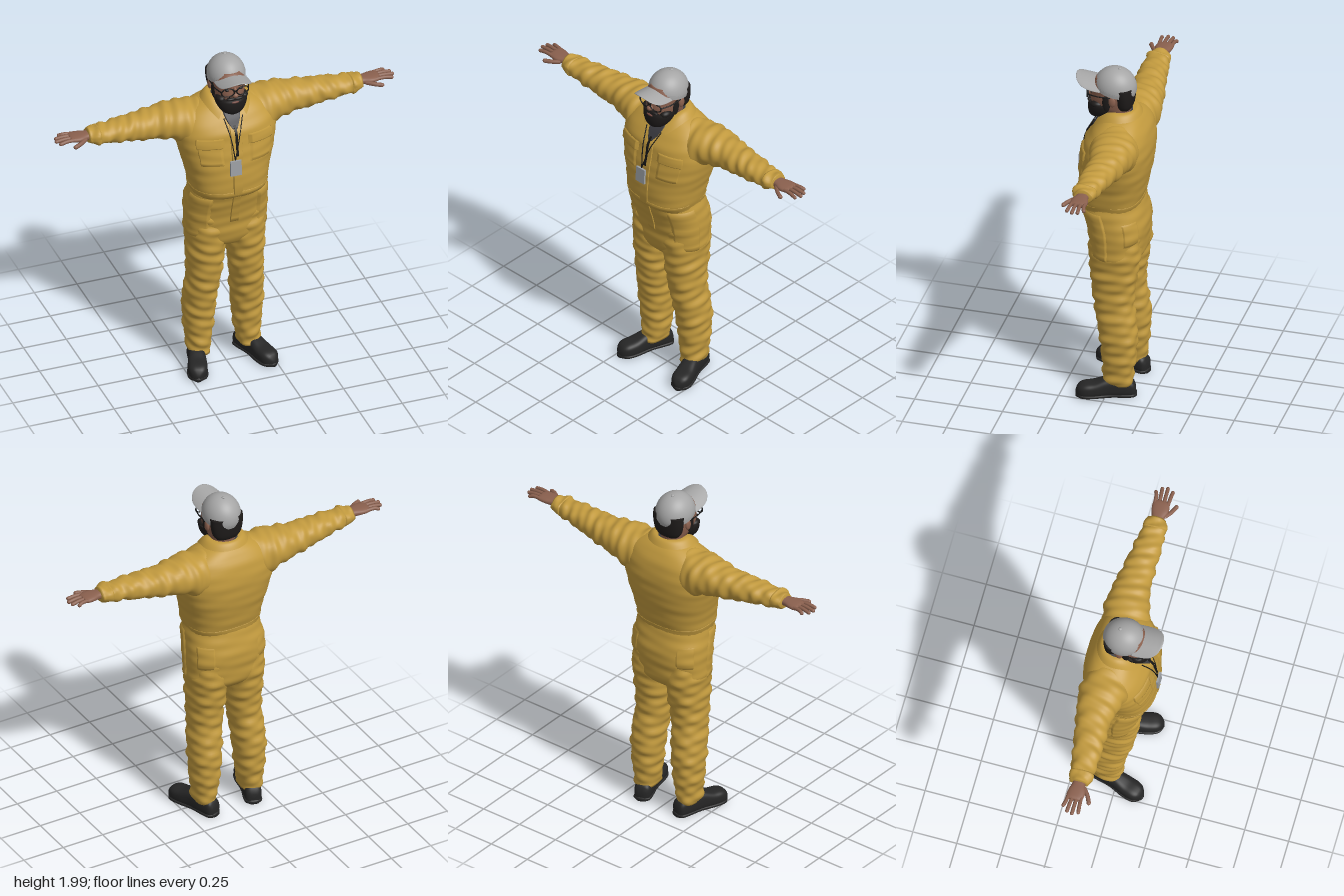
import * as THREE from 'three';
import { ParametricGeometry } from 'three/addons/geometries/ParametricGeometry.js';

const mat = (name, color, side = THREE.FrontSide) => {
  const m = new THREE.MeshStandardMaterial({ color, side });
  m.name = name;
  return m;
};

// Axis layouts: a station is [t, aMin, aMax, bMin, bMax], t running along the axis
const UP = (a, b, t) => [a, t, b];
const SIDE = (a, b, t) => [t, b, a];
const FORWARD = (a, b, t) => [b, a, t];
const sym = rows => rows.map(([t, w, z0, z1]) => [t, -w, w, z0, z1]);

// Smooth interpolation of the stations at t
function sample(st, t) {
  let i = 0;
  while (i < st.length - 2 && t > st[i + 1][0]) i++;
  const h = st[i + 1][0] - st[i][0], s = (t - st[i][0]) / h;
  const slope = (k, c) => {
    const p = st[Math.max(k - 1, 0)], n = st[Math.min(k + 1, st.length - 1)];
    return (n[c] - p[c]) / (n[0] - p[0]);
  };
  return [1, 2, 3, 4].map(c =>
    (2 * s ** 3 - 3 * s * s + 1) * st[i][c] + (s ** 3 - 2 * s * s + s) * h * slope(i, c) +
    (3 * s * s - 2 * s ** 3) * st[i + 1][c] + (s ** 3 - s * s) * h * slope(i + 1, c));
}

// Point on a body: superelliptic section with cloth folds
function surf({ st, map, e = 2.4, fold = 0 }, t, th, off = 0) {
  const [a0, a1, b0, b1] = sample(st, t);
  const p = v => Math.sign(v) * Math.abs(v) ** (2 / e);
  const c = Math.cos(th), s = Math.sin(th);
  const f = off + fold * (Math.sin(58 * t + 2.6 * Math.sin(th + 0.6)) * Math.sin(2 * th + 9 * t)
    + 0.6 * Math.sin(97 * t - 3 * Math.cos(th)));
  return map((a0 + a1) / 2 + ((a1 - a0) / 2 + f) * p(c), (b0 + b1) / 2 + ((b1 - b0) / 2 + f) * p(s), t);
}

// Closed solid through the stations
function loft(body, rings = 40, n = 44) {
  const { st, map } = body, pos = [], idx = [], t0 = st[0][0], t1 = st[st.length - 1][0];
  for (let i = 0; i <= rings; i++)
    for (let j = 0; j < n; j++)
      pos.push(...surf(body, t0 + (t1 - t0) * i / rings, j / n * Math.PI * 2));
  for (const t of [t0, t1]) {
    const [a0, a1, b0, b1] = sample(st, t);
    pos.push(...map((a0 + a1) / 2, (b0 + b1) / 2, t));
  }
  const base = (rings + 1) * n;
  for (let j = 0; j < n; j++) {
    const k = (j + 1) % n;
    for (let i = 0; i < rings; i++) {
      const a = i * n + j, b = i * n + k;
      idx.push(a, a + n, b, b, a + n, b + n);
    }
    idx.push(base, j, k, base + 1, rings * n + k, rings * n + j);
  }
  const g = new THREE.BufferGeometry();
  g.setAttribute('position', new THREE.Float32BufferAttribute(pos, 3));
  g.setIndex(idx);
  g.computeVertexNormals();
  return g;
}

// Padded panel that follows a body between two angles (degrees) and two stations
function patch(body, d0, d1, t0, t1, off, taper = 1) {
  return new ParametricGeometry((u, v, out) => {
    const w = (d1 - d0) / 2 * (taper + (1 - taper) * v);
    const th = ((d0 + d1) / 2 + w * (1 - 2 * u)) * Math.PI / 180;
    const edge = Math.min(1, 14 * Math.min(u, 1 - u, v, 1 - v));
    out.set(...surf(body, t0 + (t1 - t0) * v, th, off * edge));
  }, 28, 14);
}

// Copy reflected across x = 0
function mirrored(g) {
  const m = g.clone().scale(-1, 1, 1), ix = m.index.array;
  for (let i = 0; i < ix.length; i += 3) [ix[i], ix[i + 1]] = [ix[i + 1], ix[i]];
  return m;
}

export function createModel() {
  const root = new THREE.Group();
  root.name = 'worker';
  const suit = mat('ochre cloth', 0xc29a3e, THREE.DoubleSide), skin = mat('skin', 0x8a604e);
  const hair = mat('dark hair', 0x1e1b1a), boot = mat('black leather', 0x262626);
  const capMat = mat('grey cap', 0xa6a6a6, THREE.DoubleSide), badgeMat = mat('badge grey', 0x9da1a6);
  const shirt = mat('charcoal shirt', 0x3a3a3f, THREE.DoubleSide), frame = mat('black frame', 0x161616);
  const lip = mat('lips', 0x74483f);
  const add = (name, g, m) => {
    const mesh = new THREE.Mesh(g, m);
    mesh.name = name;
    root.add(mesh);
    return mesh;
  };
  const pair = (name, g, m) => { add('left ' + name, g, m); add('right ' + name, mirrored(g), m); };
  const ball = (x, y, z, rx, ry, rz) => new THREE.SphereGeometry(1, 20, 14).scale(rx, ry, rz).translate(x, y, z);
  const tube = (pts, r, n = 16) => new THREE.TubeGeometry(
    new THREE.CatmullRomCurve3(pts.map(p => new THREE.Vector3(...p))), n, r, 8);

  // Coverall body
  const torso = { map: UP, e: 2.5, fold: 0.0015, st: sym([
    [1.165, 0.208, -0.155, 0.17], [1.2, 0.217, -0.166, 0.187], [1.3, 0.236, -0.187, 0.187],
    [1.4, 0.262, -0.206, 0.18], [1.5, 0.282, -0.214, 0.163], [1.58, 0.275, -0.209, 0.145],
    [1.64, 0.245, -0.19, 0.105], [1.69, 0.18, -0.16, 0.062], [1.72, 0.11, -0.13, 0.035]]) };
  const hips = { map: UP, e: 2.4, fold: 0.002, st: sym([
    [0.79, 0.08, -0.1, 0.05], [0.82, 0.16, -0.15, 0.09], [0.87, 0.222, -0.178, 0.112],
    [0.95, 0.228, -0.188, 0.12], [1.05, 0.23, -0.194, 0.136], [1.15, 0.219, -0.172, 0.165],
    [1.22, 0.208, -0.16, 0.175]]) };
  const leg = { map: UP, e: 2.3, fold: 0.005, st: [
    [0.075, 0.085, 0.205, -0.14, 0.025], [0.14, 0.076, 0.212, -0.147, 0.026], [0.25, 0.062, 0.222, -0.16, 0.032],
    [0.4, 0.05, 0.228, -0.165, 0.05], [0.5, 0.042, 0.221, -0.152, 0.068], [0.6, 0.03, 0.215, -0.142, 0.085],
    [0.78, 0.01, 0.22, -0.163, 0.105], [0.9, 0, 0.223, -0.178, 0.113], [1.02, 0.01, 0.215, -0.17, 0.11]] };
  const arm = { map: SIDE, e: 2.2, fold: 0.005, st: [
    [0.12, -0.16, 0.04, 1.47, 1.7], [0.22, -0.19, 0.075, 1.46, 1.7], [0.28, -0.187, 0.065, 1.485, 1.7],
    [0.33, -0.18, 0.048, 1.505, 1.695], [0.4, -0.168, 0.033, 1.517, 1.686], [0.5, -0.148, 0.03, 1.532, 1.68],
    [0.6, -0.13, 0.03, 1.55, 1.675], [0.7, -0.112, 0.028, 1.566, 1.668], [0.77, -0.1, 0.022, 1.58, 1.663],
    [0.8, -0.094, 0.014, 1.586, 1.658]] };
  add('torso', loft(torso), suit);
  add('hips', loft(hips), suit);
  pair('trouser leg', loft(leg, 90), suit);
  pair('sleeve', loft(arm, 80), suit);
  pair('sleeve cuff', patch(arm, 0, 360, 0.735, 0.795, 0.004), suit);
  add('waistband', patch(torso, 0, 360, 1.17, 1.21, 0.004), suit);
  add('front placket', patch(torso, 86, 94, 1.17, 1.62, 0.007), suit);
  add('fly', patch(hips, 86, 94, 0.98, 1.19, 0.007), suit);
  add('zip', patch(torso, 89.4, 90.6, 1.43, 1.62, 0.01), frame);
  pair('breast pocket', patch(torso, 45, 78, 1.39, 1.535, 0.005), suit);
  pair('breast pocket flap', patch(torso, 43, 80, 1.495, 1.55, 0.012), suit);
  pair('hip pocket', patch(hips, 4, 58, 0.87, 1.16, 0.009), suit);
  pair('back pocket', patch(hips, 302, 336, 0.97, 1.11, 0.004), suit);

  // Open neck, shirt and folded collar
  add('shirt front', patch(torso, 78, 102, 1.585, 1.7, 0.006, 0.05), shirt);
  add('shirt neck', loft({ map: UP, st: sym([[1.66, 0.085, -0.1, 0.07], [1.73, 0.076, -0.1, 0.045]]) }, 6), shirt);
  add('collar', new ParametricGeometry((u, v, out) => {
    const start = 0.42 + 0.2 * v, a = start + (2 * Math.PI - 2 * start) * u, c = Math.cos(a);
    const front = Math.max(0, c) ** 2;
    const rz = c > 0 ? 0.09 + 0.08 * v : 0.08 + 0.04 * v;
    const y = (1.752 - 0.04 * front) * (1 - v) + (1.715 - 0.1 * front) * v + 0.012 * Math.sin(Math.PI * v);
    out.set(Math.sin(a) * (0.083 + 0.054 * v), y, -0.035 + c * rz);
  }, 48, 8), suit);

  // Badge on a cord
  add('badge', new THREE.BoxGeometry(0.064, 0.092, 0.012).rotateX(-0.05).translate(-0.017, 1.375, 0.197), badgeMat);
  for (const s of [-1, 1])
    add('badge cord', tube([[s * 0.055, 1.655, 0.108], [s * 0.025 - 0.008, 1.55, 0.163], [-0.017, 1.42, 0.19]], 0.003), frame);

  // Boots, toes turned out
  const place = g => g.rotateY(0.31).translate(0.172, 0, 0);
  pair('boot', place(loft({ map: FORWARD, e: 2.8, st: [
    [-0.162, 0.005, 0.06, -0.025, 0.025], [-0.15, 0, 0.09, -0.043, 0.043], [-0.08, 0, 0.115, -0.05, 0.05],
    [0, 0, 0.112, -0.048, 0.048], [0.07, 0, 0.09, -0.054, 0.054], [0.125, 0, 0.082, -0.052, 0.052],
    [0.155, 0.004, 0.066, -0.035, 0.035], [0.168, 0.012, 0.04, -0.012, 0.012]] })), boot);
  pair('boot sole', place(loft({ map: FORWARD, e: 3.2, st: [
    [-0.167, 0, 0.022, -0.025, 0.025], [-0.145, 0, 0.024, -0.049, 0.049], [-0.02, 0, 0.024, -0.046, 0.046],
    [0.08, 0, 0.024, -0.058, 0.058], [0.14, 0, 0.024, -0.05, 0.05], [0.17, 0, 0.022, -0.014, 0.014]] })), boot);

  // Hands, palms down
  pair('palm', loft({ map: SIDE, st: [
    [0.77, -0.075, -0.005, 1.6, 1.648], [0.81, -0.075, -0.002, 1.605, 1.648], [0.85, -0.086, 0.01, 1.61, 1.648],
    [0.89, -0.088, 0.006, 1.614, 1.646], [0.905, -0.08, 0, 1.62, 1.642]] }, 20, 28), skin);
  [[-0.075, -0.088, 0.958], [-0.052, -0.06, 0.985], [-0.028, -0.03, 0.992], [-0.005, 0.002, 0.978]].forEach(([z0, z1, tip]) => {
    pair('finger', tube([[0.87, 1.631, z0], [0.93, 1.634, (z0 + z1) / 2], [tip - 0.01, 1.628, z1]], 0.0105, 8), skin);
    pair('fingertip', ball(tip - 0.01, 1.628, z1, 0.011, 0.0105, 0.0105), skin);
  });
  pair('thumb', tube([[0.82, 1.622, -0.005], [0.86, 1.62, 0.025], [0.895, 1.617, 0.042]], 0.012, 8), skin);
  pair('thumb tip', ball(0.895, 1.617, 0.042, 0.014, 0.012, 0.012), skin);

  // Head
  add('head', loft({ map: UP, e: 2.2, st: sym([
    [1.68, 0.066, -0.09, 0.035], [1.735, 0.068, -0.09, 0.06], [1.76, 0.078, -0.094, 0.118], [1.8, 0.087, -0.1, 0.135],
    [1.84, 0.091, -0.104, 0.132], [1.88, 0.093, -0.107, 0.128], [1.93, 0.08, -0.09, 0.1]]) }), skin);
  add('nose', ball(0, 1.815, 0.14, 0.018, 0.016, 0.02), skin);
  add('nose bridge', ball(0, 1.835, 0.132, 0.011, 0.028, 0.016), skin);
  pair('ear', ball(0.094, 1.822, -0.01, 0.012, 0.032, 0.02), skin);
  add('hair', loft({ map: UP, st: sym([
    [1.755, 0.066, -0.099, -0.03], [1.78, 0.084, -0.108, -0.02], [1.84, 0.096, -0.113, -0.015], [1.89, 0.098, -0.113, 0]]) }, 16), hair);
  add('beard', loft({ map: UP, e: 2.2, st: sym([
    [1.68, 0.03, 0.06, 0.125], [1.695, 0.058, 0.03, 0.14], [1.73, 0.082, 0, 0.148],
    [1.765, 0.092, -0.015, 0.146], [1.78, 0.092, -0.015, 0.139]]) }, 20), hair);
  pair('sideburn', ball(0.083, 1.81, 0.025, 0.012, 0.06, 0.024), hair);
  pair('cheek beard', ball(0.066, 1.78, 0.085, 0.026, 0.02, 0.035), hair);
  pair('moustache', ball(0.022, 1.789, 0.134, 0.028, 0.009, 0.013).rotateZ(0), hair);
  add('lips', ball(0, 1.769, 0.144, 0.022, 0.006, 0.006), lip);
  pair('eye', ball(0.037, 1.84, 0.121, 0.015, 0.006, 0.006), frame);
  pair('eyebrow', ball(0.04, 1.867, 0.122, 0.027, 0.006, 0.008), hair);

  // Glasses
  pair('lens rim', new THREE.TorusGeometry(0.034, 0.0038, 8, 28).scale(1.08, 0.76, 1).rotateY(0.15).translate(0.043, 1.838, 0.142), frame);
  add('glasses bridge', new THREE.BoxGeometry(0.018, 0.006, 0.006).translate(0, 1.845, 0.148), frame);
  pair('glasses arm', tube([[0.08, 1.845, 0.136], [0.096, 1.845, 0.08], [0.097, 1.845, -0.015]], 0.0035), frame);

  // Cap: tilted dome, band, curved peak and button
  const tilt = g => g.rotateX(-0.22).translate(0, 1.872, -0.004);
  add('cap dome', tilt(new THREE.SphereGeometry(1, 40, 20, 0, Math.PI * 2, 0, Math.PI / 2).scale(0.107, 0.116, 0.119)), capMat);
  add('cap band', tilt(new THREE.CylinderGeometry(1, 0.98, 0.024, 40, 1, true).scale(0.107, 1, 0.119).translate(0, -0.006, 0)), capMat);
  add('cap button', ball(0, 1.986, -0.028, 0.01, 0.006, 0.01), capMat);
  const peak = loft({ map: FORWARD, e: 2.6, st: [
    [0.06, 1.906, 1.914, -0.095, 0.095], [0.11, 1.911, 1.92, -0.095, 0.095], [0.16, 1.917, 1.926, -0.088, 0.088],
    [0.195, 1.922, 1.93, -0.066, 0.066], [0.21, 1.925, 1.932, -0.04, 0.04], [0.216, 1.927, 1.931, -0.012, 0.012]] }, 30);
  const p = peak.attributes.position;
  for (let i = 0; i < p.count; i++) p.setY(i, p.getY(i) - 4.5 * p.getX(i) ** 2);
  peak.computeVertexNormals();
  add('cap peak', peak, capMat);
  return root;
}
